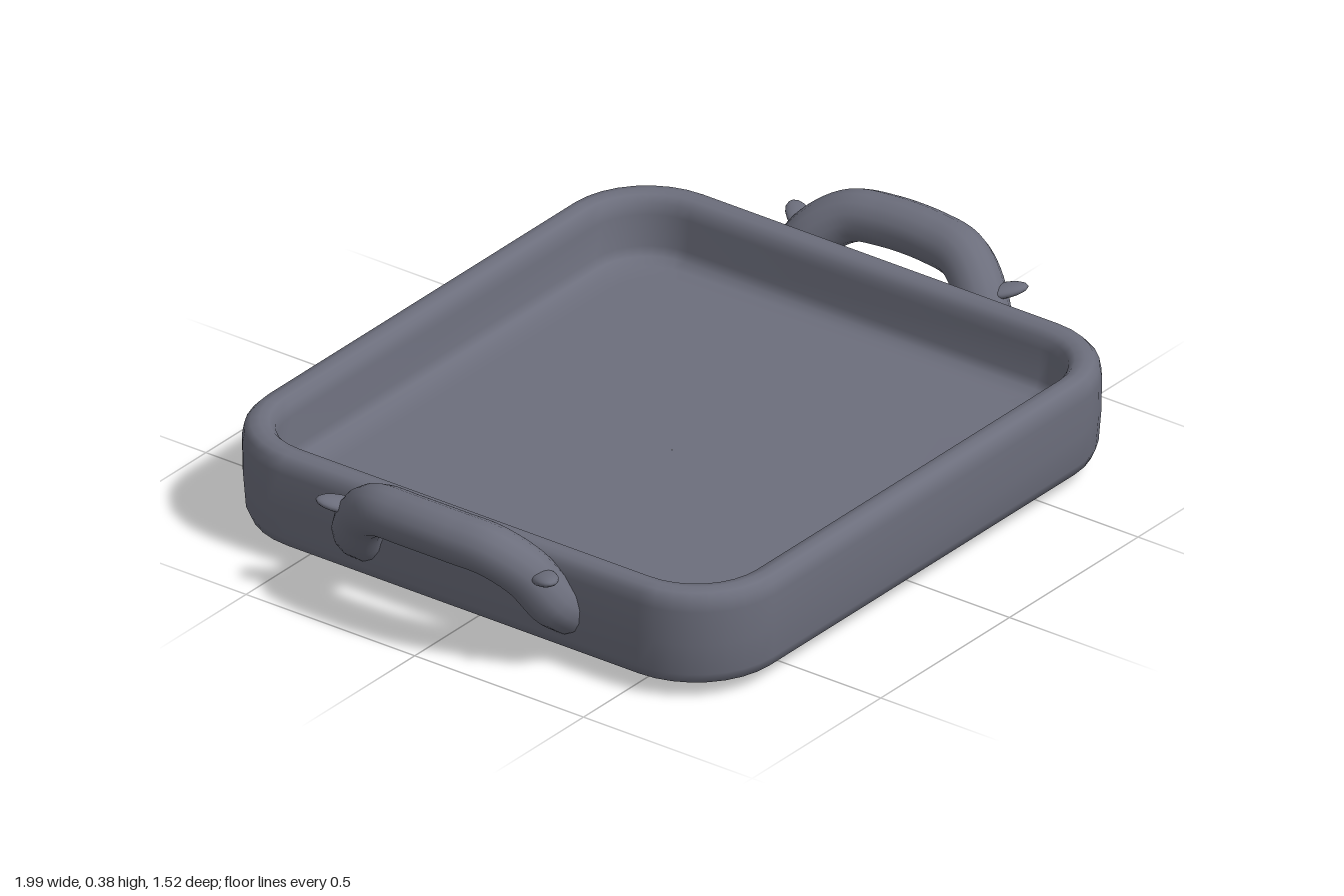
import * as THREE from 'three';

const material = new THREE.MeshStandardMaterial({ color: 0x6c6e7c });
material.name = 'slate grey';

// Rounded rectangle outline at height y, listed from +x towards +z
function ring(hx, hz, r, y) {
  const pts = [];
  for (let c = 0; c < 4; c++) {
    const sx = c === 0 || c === 3 ? 1 : -1;
    const sz = c < 2 ? 1 : -1;
    for (let i = 0; i <= 8; i++) {
      const a = (c + i / 8) * Math.PI / 2;
      pts.push([sx * (hx - r) + r * Math.cos(a), y, sz * (hz - r) + r * Math.sin(a)]);
    }
  }
  return pts;
}

// Smooth skin through a list of rings, closed along each ring
function loft(rings) {
  const n = rings[0].length;
  const index = [];
  for (let j = 0; j < rings.length - 1; j++) {
    for (let i = 0; i < n; i++) {
      const a = j * n + i, b = j * n + (i + 1) % n;
      index.push(a, a + n, b, b, a + n, b + n);
    }
  }
  const g = new THREE.BufferGeometry();
  g.setAttribute('position', new THREE.Float32BufferAttribute(rings.flat(2), 3));
  g.setIndex(index);
  g.computeVertexNormals();
  return g;
}

function add(parent, name, geometry) {
  const mesh = new THREE.Mesh(geometry, material);
  mesh.name = name;
  parent.add(mesh);
  return mesh;
}

function ellipsoid(parent, name, pos, radii) {
  const mesh = add(parent, name, new THREE.SphereGeometry(1, 16, 12));
  mesh.position.set(...pos);
  mesh.scale.set(...radii);
  return mesh;
}

// Arched handle on the +x side, with a leaf and a pad at each end
function createHandle() {
  const handle = new THREE.Group();
  const half = [[0.79, 0.135, 0.30], [0.84, 0.175, 0.288], [0.88, 0.25, 0.24], [0.916, 0.3, 0.165]];
  const points = [
    ...half,
    [0.93, 0.311, 0.07],
    [0.93, 0.311, -0.07],
    ...half.slice().reverse().map(([x, y, z]) => [x, y, -z]),
  ].map((p) => new THREE.Vector3(...p));
  add(handle, 'grip', new THREE.TubeGeometry(new THREE.CatmullRomCurve3(points), 48, 0.064, 14));

  for (const s of [1, -1]) {
    ellipsoid(handle, 'handlePad', [0.828, 0.165, s * 0.288], [0.022, 0.062, 0.056]);
    const leaf = ellipsoid(handle, 'leaf', [0.893, 0.262, s * 0.302], [0.032, 0.016, 0.06]);
    const direction = new THREE.Vector3(0.055, 0.02, s * 0.075).normalize();
    leaf.quaternion.setFromUnitVectors(new THREE.Vector3(0, 0, s), direction);
  }
  return handle;
}

export function createModel() {
  const model = new THREE.Group();
  model.name = 'tray';

  // Tray shell: underside, outer wall, rounded rim, inner wall, floor
  const profile = [
    // half width, half depth, corner radius, height
    [0.001, 0.001, 0.001, 0.027],
    [0.74, 0.67, 0.17, 0.027],
    [0.785, 0.715, 0.2, 0.03],
    [0.812, 0.742, 0.22, 0.043],
    [0.824, 0.753, 0.23, 0.07],
    [0.828, 0.758, 0.23, 0.15],
    [0.828, 0.76, 0.23, 0.24],
    [0.823, 0.755, 0.225, 0.268],
    [0.81, 0.742, 0.215, 0.283],
    [0.79, 0.722, 0.2, 0.288],
    [0.768, 0.7, 0.18, 0.284],
    [0.753, 0.685, 0.165, 0.268],
    [0.748, 0.68, 0.16, 0.24],
    [0.742, 0.674, 0.155, 0.16],
    [0.732, 0.664, 0.145, 0.137],
    [0.705, 0.637, 0.13, 0.126],
    [0.66, 0.592, 0.12, 0.123],
    [0.001, 0.001, 0.001, 0.121],
  ];
  add(model, 'shell', loft(profile.map((p) => ring(...p))));

  // Feet: shallow rounded discs
  const footProfile = [[0, 0], [0.06, 0], [0.076, 0.005], [0.084, 0.016], [0.086, 0.032]]
    .map(([r, y]) => new THREE.Vector2(r, y));
  for (const sx of [1, -1]) {
    for (const sz of [1, -1]) {
      add(model, 'foot', new THREE.LatheGeometry(footProfile, 20)).position.set(sx * 0.595, 0, sz * 0.53);
    }
  }

  // Handles
  const leftHandle = createHandle();
  leftHandle.name = 'leftHandle';
  const rightHandle = createHandle();
  rightHandle.name = 'rightHandle';
  rightHandle.rotation.y = Math.PI;
  model.add(leftHandle, rightHandle);

  return model;
}
